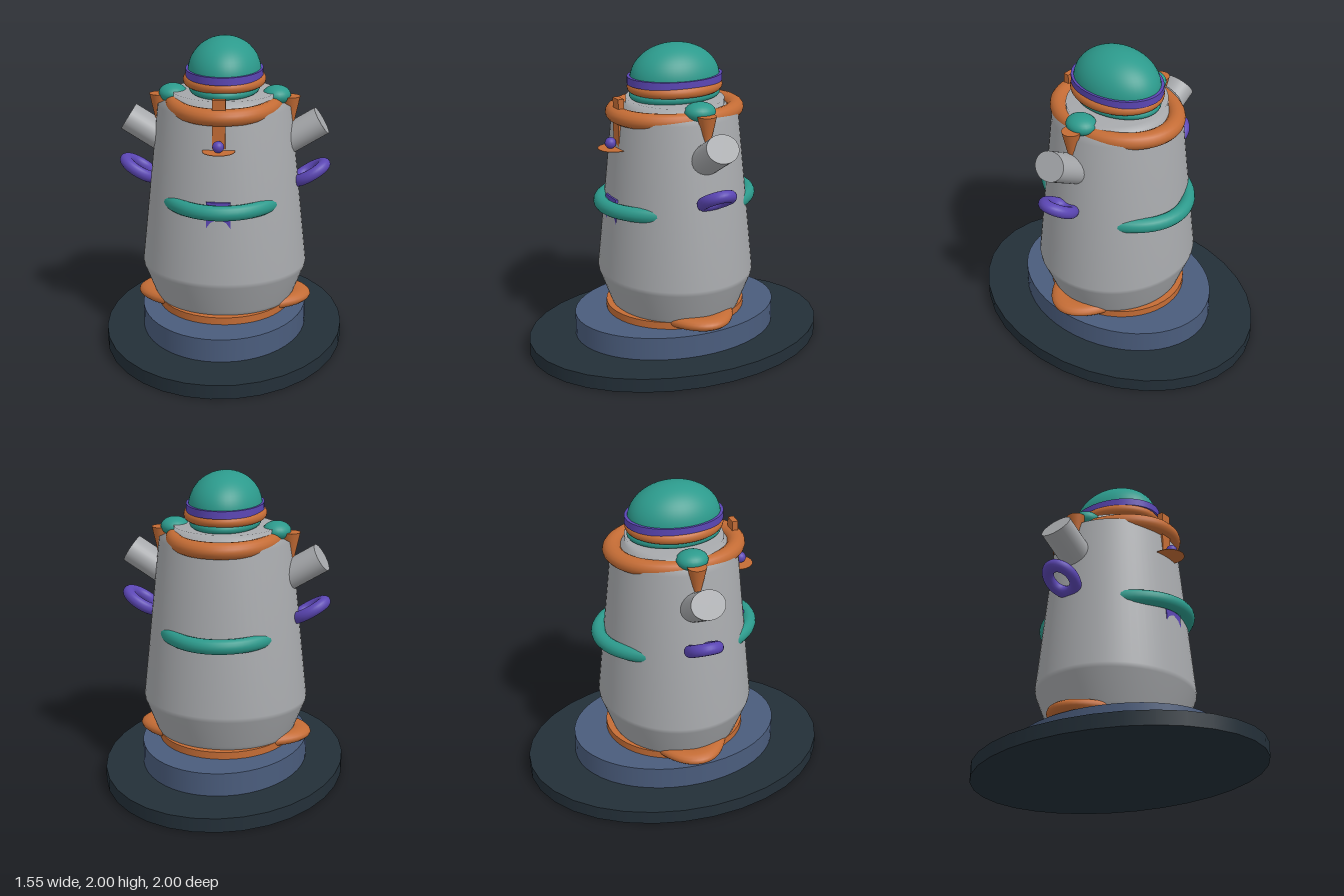
import * as THREE from 'three';

const mat = (name, color) => {
  const m = new THREE.MeshStandardMaterial({ color });
  m.name = name;
  return m;
};

export function createModel() {
  const grey = mat('stone grey', 0xa6a8ab);
  const orange = mat('orange', 0xc46c35);
  const teal = mat('teal', 0x2c9a8c);
  const purple = mat('purple', 0x5b46b4);
  const dark = mat('dark slate', 0x232f38);
  const blue = mat('slate blue', 0x4a5c7c);
  const group = new THREE.Group();

  const add = (name, geometry, material, x = 0, y = 0, z = 0) => {
    const mesh = new THREE.Mesh(geometry, material);
    mesh.name = name;
    mesh.position.set(x, y, z);
    group.add(mesh);
    return mesh;
  };

  // Elliptical disc between two heights
  const disc = (name, rx, rz, y0, y1, material, sides = 48) =>
    add(name, new THREE.CylinderGeometry(1, 1, y1 - y0, sides).scale(rx, 1, rz), material, 0, (y0 + y1) / 2);

  // Horizontal elliptical ring given by its outer radii
  const ring = (name, rx, rz, y, tube, height, material) => {
    const g = new THREE.TorusGeometry(rz - tube, tube, 16, 64).rotateX(Math.PI / 2);
    return add(name, g.scale(rx / rz, height / (2 * tube), 1), material, 0, y);
  };

  // Two-step plinth
  disc('plinthBase', 0.775, 1, 0, 0.09, dark, 32);
  disc('plinthStep', 0.535, 0.685, 0.09, 0.24, blue);

  // Foot disc with a ring showing at both sides
  disc('footDisc', 0.43, 0.46, 0.24, 0.287, orange);
  ring('footRing', 0.57, 0.3, 0.285, 0.04, 0.078, orange);

  // Tapered body, slightly flattened front to back
  const profile = [
    [0, 0.25], [0.43, 0.25], [0.455, 0.31], [0.53, 0.5], [0.534, 0.53],
    [0.424, 1.57], [0.33, 1.61], [0.33, 1.655], [0, 1.655],
  ].map(([r, y]) => new THREE.Vector2(r, y));
  add('body', new THREE.LatheGeometry(profile, 64).scale(1, 1, 0.935), grey);

  // Belt and collar emerge from the body at front and back
  ring('belt', 0.43, 0.545, 1.0, 0.047, 0.095, teal);
  ring('collar', 0.375, 0.455, 1.578, 0.06, 0.105, orange);

  // Stacked neck bands and domed head
  ring('neckRing', 0.225, 0.302, 1.683, 0.03, 0.056, teal);
  ring('hatRing', 0.262, 0.312, 1.731, 0.036, 0.068, orange);
  disc('hatBand', 0.245, 0.314, 1.755, 1.803, purple);
  add('dome', new THREE.SphereGeometry(1, 48, 16, 0, Math.PI * 2, 0, Math.PI / 2).scale(0.232, 0.22, 0.296), teal, 0, 1.78);
  disc('neckCore', 0.2, 0.26, 1.65, 1.79, teal);

  // Parts mirrored on both sides
  for (const [side, s] of [['left', 1], ['right', -1]]) {
    add(side + 'Shoulder', new THREE.SphereGeometry(1, 24, 16).scale(0.09, 0.06, 0.1), teal, s * 0.33, 1.632);

    add(side + 'Funnel', new THREE.CylinderGeometry(0.06, 0.02, 0.18, 24), orange, s * 0.42, 1.535);

    const arm = add(side + 'Arm',
      new THREE.CylinderGeometry(1, 1, 0.4, 32).scale(0.092, 1, 0.11), grey, s * 0.447, 1.366);
    arm.rotation.z = -s * 1.02;

    const loop = add(side + 'Loop',
      new THREE.TorusGeometry(0.085, 0.035, 16, 40).rotateX(Math.PI / 2).scale(1.22, 1.1, 1),
      purple, s * 0.55, 1.125);
    loop.rotation.z = s * 0.54;
  }

  // Front ornaments, partly sunk into the body
  add('frontStrip', new THREE.BoxGeometry(0.08, 0.42, 0.038), orange, 0, 1.48, 0.394);
  add('frontBead', new THREE.SphereGeometry(0.036, 24, 16), purple, 0, 1.41, 0.452);
  add('beadTray', new THREE.CylinderGeometry(0.1, 0.1, 0.003, 32), orange, 0, 1.375, 0.43);
  add('beltBuckle', new THREE.BoxGeometry(0.15, 0.2, 0.04), purple, 0, 0.955, 0.438);

  return group;
}
